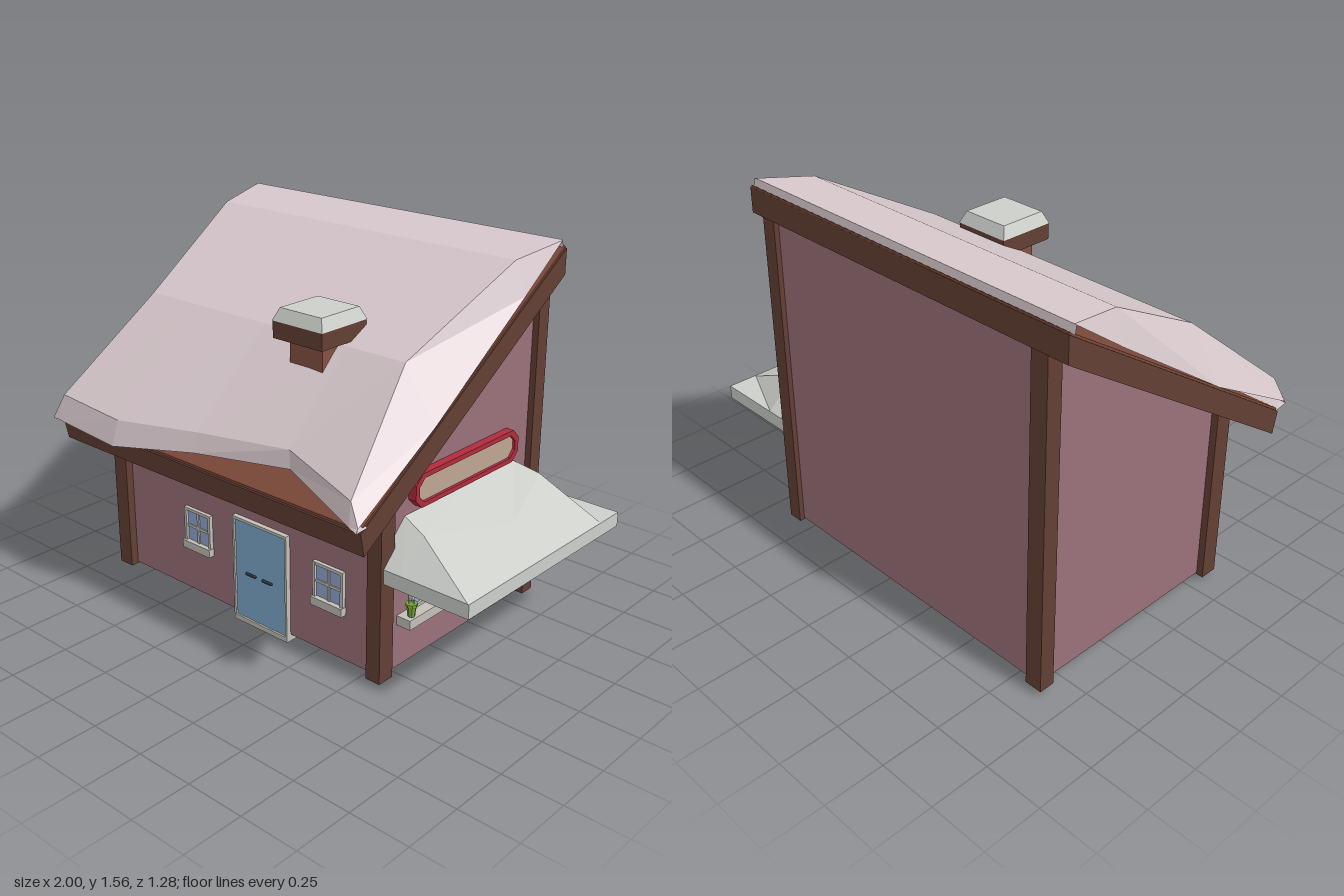
import * as THREE from 'three';

const mat = (color) => new THREE.MeshStandardMaterial({ color, flatShading: true, side: THREE.DoubleSide });
const M = {
  wall: mat(0x9a707a), wood: mat(0x633f33), deck: mat(0x7c4a3a), brick: mat(0x84523f),
  snow: mat(0xd6c7cb), pale: mat(0xcccfca), trim: mat(0xc4c0b8), door: mat(0x7caace),
  glass: mat(0x93a8d4), metal: mat(0x3c4048), red: mat(0xb02c3c), tan: mat(0xbfa592), green: mat(0x78a838),
};

// Height of the roof underside and top at depth z
const under = (z) => 0.645 + (0.55 - z) * 0.651;
const top = (z) => 0.75 + (0.57 - z) * 0.649;

function add(parent, name, geometry, material) {
  const mesh = new THREE.Mesh(geometry, material);
  mesh.name = name;
  parent.add(mesh);
  return mesh;
}

// Box given by its minimum and maximum on each axis
function box(parent, name, material, x0, x1, y0, y1, z0, z1) {
  const mesh = add(parent, name, new THREE.BoxGeometry(x1 - x0, y1 - y0, z1 - z0), material);
  mesh.position.set((x0 + x1) / 2, (y0 + y1) / 2, (z0 + z1) / 2);
  return mesh;
}

// Side profile of [z, y] points, extruded from x0 to x1
function sideExtrude(parent, name, material, points, x0, x1, hole) {
  const shape = new THREE.Shape(points.map(([z, y]) => new THREE.Vector2(z, y)));
  if (hole) shape.holes.push(new THREE.Path(hole.map(([z, y]) => new THREE.Vector2(z, y))));
  const g = new THREE.ExtrudeGeometry(shape, { depth: x1 - x0, bevelEnabled: false });
  g.rotateY(-Math.PI / 2).translate(x1, 0, 0);
  return add(parent, name, g, material);
}

// Surface through rows of [x, y, z] points
function loft(rows) {
  const n = rows[0].length, index = [];
  for (let r = 0; r < rows.length - 1; r++) {
    for (let c = 0; c < n - 1; c++) {
      const a = r * n + c, b = a + n;
      index.push(a, b, a + 1, b, b + 1, a + 1);
    }
  }
  const g = new THREE.BufferGeometry();
  g.setAttribute('position', new THREE.Float32BufferAttribute(rows.flat(2), 3));
  g.setIndex(index);
  const flat = g.toNonIndexed();
  flat.computeVertexNormals();
  return flat;
}

// Window facing +z, centred on its own origin, 0.155 wide
function makeWindow(name, height, sill) {
  const g = new THREE.Group(), w = 0.0775, h = height / 2, b = 0.013;
  g.name = name;
  box(g, 'pane', M.glass, -w + b, w - b, -h + b, h - b, -0.015, 0.004);
  for (const s of [-1, 1]) {
    box(g, 'frameSide', M.trim, s * (w - b / 2) - b / 2, s * (w - b / 2) + b / 2, -h, h, -0.015, 0.015);
    box(g, 'frameRail', M.trim, -w, w, s * (h - b / 2) - b / 2, s * (h - b / 2) + b / 2, -0.015, 0.014);
  }
  box(g, 'mullion', M.trim, -0.006, 0.006, -h, h, -0.015, 0.01);
  box(g, 'transom', M.trim, -w, w, -0.006, 0.006, -0.015, 0.009);
  if (sill) box(g, 'sill', M.trim, -w - 0.003, w + 0.003, -h - 0.02, -h + 0.015, -0.015, 0.025);
  return g;
}

// Outline of a rectangle with cut corners
const cutRect = (z0, z1, y0, y1, c) => [
  [z0 + c, y0], [z1 - c, y0], [z1, y0 + c], [z1, y1 - c],
  [z1 - c, y1], [z0 + c, y1], [z0, y1 - c], [z0, y0 + c],
];

export function createModel() {
  const model = new THREE.Group();
  model.name = 'house';

  // Walls and corner posts, cut to the roof slope
  const slopeBlock = (y, z0, z1) => [[z1, y], [z1, under(z1) + 0.03], [z0, under(z0) + 0.03], [z0, y]];
  sideExtrude(model, 'walls', M.wall, slopeBlock(0.03, -0.61, 0.35), -0.865, 0.585);
  for (const [x0, x1] of [[-0.895, -0.82], [0.545, 0.612]]) {
    sideExtrude(model, 'frontPost', M.wood, slopeBlock(0.022, 0.308, 0.385), x0, x1);
    sideExtrude(model, 'backPost', M.wood, slopeBlock(0.022, -0.632, -0.565), x0, x1);
  }

  // Roof slab and its boarded top
  sideExtrude(model, 'roofSlab', M.wood,
    [[0.55, under(0.55)], [0.57, top(0.57) - 0.01], [-0.638, top(-0.638) - 0.01], [-0.638, under(-0.638)]], -0.985, 0.67);
  sideExtrude(model, 'roofDeck', M.deck,
    [[0.565, top(0.565) - 0.02], [0.565, top(0.565)], [-0.635, top(-0.635)], [-0.635, top(-0.635) - 0.02]], -0.98, 0.665);

  // Snow blanket: rows from the back ridge to the wavy front lip
  const level = (xs, yOut, yIn, z) => xs.map((x, i) => [x, i === 0 || i === 6 ? yOut : yIn, z]);
  const edge = [[-0.985, 0.755, 0.62], [-0.95, 0.757, 0.622], [-0.58, 0.742, 0.637], [-0.19, 0.797, 0.555],
    [0.25, 0.832, 0.478], [0.635, 0.763, 0.593], [0.677, 0.755, 0.602]];
  const snowRows = [
    level([-1, -0.99, -0.58, -0.19, 0.24, 0.65, 0.66], 1.525, 1.525, -0.628),
    level([-1, -0.99, -0.58, -0.19, 0.24, 0.65, 0.66], 1.556, 1.558, -0.622),
    level([-0.995, -0.95, -0.58, -0.19, 0.24, 0.61, 0.663], top(-0.385) + 0.015, 1.515, -0.382),
    level([-0.992, -0.85, -0.58, -0.19, 0.24, 0.52, 0.668], top(0.155), 1.225, 0.155),
    [[-0.987, 0.77, 0.605], [-0.94, 0.86, 0.59], [-0.58, 0.845, 0.605], [-0.19, 0.875, 0.53],
      [0.24, 0.905, 0.47], [0.62, 0.85, 0.565], [0.675, 0.77, 0.59]],
    edge,
    edge.map(([x, y, z]) => [x, top(z - 0.06) - 0.01, z - 0.06]),
  ];
  add(model, 'roofSnow', loft(snowRows), M.snow);

  // Chimney
  const chimney = new THREE.Group();
  chimney.name = 'chimney';
  model.add(chimney);
  box(chimney, 'stack', M.brick, 0.035, 0.2, 0.95, 1.25, 0.085, 0.247);
  box(chimney, 'crown', M.wood, -0.01, 0.24, 1.237, 1.308, 0.043, 0.293);
  const cap = add(chimney, 'snowCap', new THREE.CylinderGeometry(0.105 * Math.SQRT2, 0.127 * Math.SQRT2, 0.05, 4), M.pale);
  cap.geometry.rotateY(Math.PI / 4);
  cap.position.set(0.115, 1.331, 0.168);

  // Door with frame, threshold and two handles
  const door = new THREE.Group();
  door.name = 'door';
  model.add(door);
  box(door, 'panel', M.door, -0.17, 0.11, 0.015, 0.46, 0.33, 0.364);
  box(door, 'frameTop', M.trim, -0.18, 0.12, 0.46, 0.472, 0.33, 0.372);
  for (const x of [-0.18, 0.11]) box(door, 'frameSide', M.trim, x, x + 0.01, 0.01, 0.472, 0.33, 0.372);
  box(door, 'threshold', M.trim, -0.18, 0.12, 0, 0.022, 0.31, 0.372);
  for (const x of [-0.073, 0.018]) {
    const handle = add(door, 'handle', new THREE.CapsuleGeometry(0.007, 0.045, 2, 6), M.metal);
    handle.rotation.z = Math.PI / 2;
    handle.position.set(x, 0.238, 0.378);
  }

  // Windows on the front and the left side
  for (const x of [-0.398, 0.332]) {
    const w = makeWindow('frontWindow', 0.165, true);
    w.position.set(x, 0.333, 0.352);
    model.add(w);
  }
  for (const z of [0.107, -0.172, -0.343]) {
    const w = makeWindow('sideWindow', 0.16, false);
    w.position.set(0.588, 0.335, z);
    w.rotation.y = Math.PI / 2;
    model.add(w);
  }

  // Window shelf with potted plants
  box(model, 'plantShelf', M.trim, 0.58, 0.65, 0.215, 0.255, -0.455, 0.255);
  for (const z of [0.22, -0.055, -0.412]) {
    const plant = new THREE.Group();
    plant.name = 'plant';
    plant.position.set(0.628, 0.255, z);
    model.add(plant);
    add(plant, 'pot', new THREE.CylinderGeometry(0.021, 0.014, 0.05, 8), M.green).position.y = 0.025;
    add(plant, 'potRim', new THREE.CylinderGeometry(0.024, 0.024, 0.012, 8), M.green).position.y = 0.05;
    for (let i = 0; i < 3; i++) {
      const a = i * 2.1, leaf = add(plant, 'leaf', new THREE.ConeGeometry(0.005, 0.03, 4), M.trim);
      leaf.position.set(0.01 * Math.cos(a), 0.066, 0.01 * Math.sin(a));
    }
  }

  // Blank sign board with red border
  sideExtrude(model, 'signBorder', M.red, cutRect(-0.455, 0.2, 0.683, 0.82, 0.038), 0.58, 0.62, cutRect(-0.433, 0.178, 0.703, 0.8, 0.03));
  sideExtrude(model, 'signBoard', M.tan, cutRect(-0.435, 0.18, 0.701, 0.802, 0.03), 0.58, 0.608);

  // Hipped awning with a rim and recessed underside
  const awning = new THREE.Group();
  awning.name = 'awning';
  model.add(awning);
  const awningRow = (x, yEnd, y, zs) => zs.map((z, i) => [x[i], i === 0 || i === 4 ? yEnd : y[i], z]);
  add(awning, 'awningTop', loft([
    awningRow([0.585, 0.585, 0.585, 0.585, 0.585], 0.505, [0, 0.66, 0.66, 0.66, 0], [0.37, 0.22, -0.13, -0.48, -0.63]),
    awningRow([0.7, 0.7, 0.82, 0.7, 0.7], 0.505, [0, 0.625, 0.572, 0.63, 0], [0.37, 0.25, -0.15, -0.5, -0.63]),
    awningRow([0.99, 0.99, 0.99, 0.99, 0.99], 0.505, [0, 0.505, 0.505, 0.505, 0], [0.37, 0.25, -0.15, -0.5, -0.63]),
  ]), M.pale);
  box(awning, 'outerRim', M.pale, 0.965, 0.995, 0.445, 0.505, -0.63, 0.37);
  for (const z of [-0.63, 0.35]) box(awning, 'endRim', M.pale, 0.585, 0.97, 0.445, 0.505, z, z + 0.02);
  box(awning, 'underside', M.pale, 0.585, 0.97, 0.475, 0.495, -0.615, 0.355);

  return model;
}
